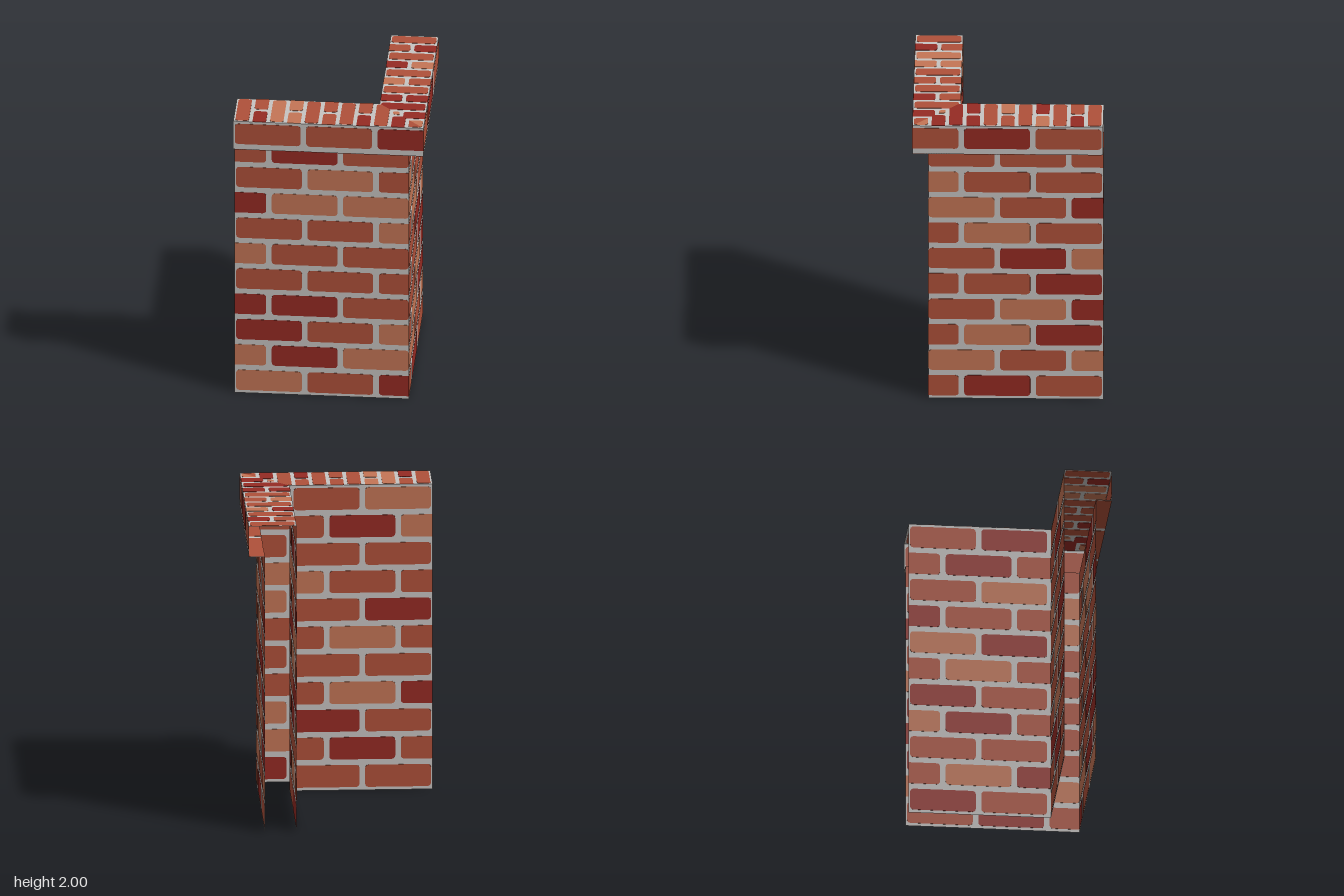
import * as THREE from 'three';
import { mergeGeometries } from 'three/addons/utils/BufferGeometryUtils.js';

const X = new THREE.Vector3(1, 0, 0);
const Y = new THREE.Vector3(0, 1, 0);
const Z = new THREE.Vector3(0, 0, 1);
const THICK = 0.003; // bricks poke slightly through both sides of the mortar sheet

function material(name, color) {
  const m = new THREE.MeshStandardMaterial({ color, side: THREE.DoubleSide });
  m.name = name;
  return m;
}

const rect = (u0, v0, u1, v1) => [[u0, v0], [u1, v0], [u1, v1], [u0, v1]];

// Counter-clockwise rectangle with rounded corners
function roundedRect(u0, v0, u1, v1, r) {
  const centres = [[u1 - r, v1 - r], [u0 + r, v1 - r], [u0 + r, v0 + r], [u1 - r, v0 + r]];
  const points = [];
  centres.forEach(([u, v], corner) => {
    for (let i = 0; i <= 3; i++) {
      const a = (corner + i / 3) * Math.PI / 2;
      points.push([u + r * Math.cos(a), v + r * Math.sin(a)]);
    }
  });
  return points;
}

// Cut a polygon to a convex, counter-clockwise region
function clip(points, region) {
  region.forEach((a, k) => {
    const b = region[(k + 1) % region.length];
    const side = p => (b[0] - a[0]) * (p[1] - a[1]) - (b[1] - a[1]) * (p[0] - a[0]);
    const kept = [];
    points.forEach((p, i) => {
      const q = points[(i + 1) % points.length];
      const sp = side(p), sq = side(q);
      if (sp >= 0) kept.push(p);
      if (sp * sq < 0) {
        const t = sp / (sp - sq);
        kept.push([p[0] + t * (q[0] - p[0]), p[1] + t * (q[1] - p[1])]);
      }
    });
    points = kept;
  });
  return points;
}

const toShape = points => new THREE.Shape(points.map(p => new THREE.Vector2(p[0], p[1])));

// Running bond courses; one letter per brick, bottom course first
function courses(rows, firstRow = 0) {
  return rows.flatMap((row, i) => {
    const r = firstRow + i;
    const v = 0.02 + r * 2 / 11;
    return [...row].map((tone, k) => {
      const u = (r % 2 ? -0.815 : -0.59) + k * 0.45;
      return { tone, outline: roundedRect(u, v, u + 0.415, v + 0.145, 0.022) };
    });
  });
}

// Coping bricks laid across the wall, alternating one full brick and two halves
function copingBricks(columns) {
  return columns.flatMap((column, i) => {
    const u = -0.588 + i * 1.2 / 11;
    return [...column].map((tone, k) => {
      const v = column.length === 1 ? 0.31 : 0.155 + k * 0.305;
      return { tone, outline: roundedRect(u, v, u + 0.085, v + 0.28, 0.018) };
    });
  });
}

export function createModel() {
  const mortar = material('mortar', 0xc8c5c3);
  const tones = {
    M: material('red brick', 0xb0513a),
    L: material('light brick', 0xc57656),
    D: material('dark brick', 0x962b23),
  };
  const model = new THREE.Group();
  model.name = 'brickCorner';

  // One mortar sheet with its bricks, in the plane spanned by U and V
  function panel(name, U, V, origin, region, bricks) {
    const group = new THREE.Group();
    group.name = name;
    const W = new THREE.Vector3().crossVectors(U, V);
    const matrix = new THREE.Matrix4().makeBasis(U, V, W).setPosition(origin);
    const sheet = new THREE.Mesh(new THREE.ShapeGeometry(toShape(region)).applyMatrix4(matrix), mortar);
    sheet.name = name + 'Mortar';
    group.add(sheet);
    for (const tone of Object.keys(tones)) {
      const parts = bricks.filter(b => b.tone === tone)
        .map(b => clip(b.outline, region))
        .filter(points => points.length > 2)
        .map(points => new THREE.ExtrudeGeometry(toShape(points), { depth: THICK, bevelEnabled: false })
          .translate(0, 0, -THICK / 2).applyMatrix4(matrix));
      if (!parts.length) continue;
      const mesh = new THREE.Mesh(mergeGeometries(parts), tones[tone]);
      mesh.name = name + 'Bricks' + tone;
      group.add(mesh);
    }
    model.add(group);
  }

  // Both arms of the corner share one layout, with x and z swapped
  const arms = [
    {
      name: 'front', U: X, N: Z,
      outer: ['LMD', 'LDL', 'DML', 'DDM', 'MMM', 'LMM', 'MML', 'DLL', 'MLM', 'MDM'],
      inner: ['MM', 'MDM', 'MD', 'DLM', 'MM', 'MLM', 'DM', 'MML', 'MM', 'LDM', 'LM'],
      cap: ['MMD'],
      top: ['M', 'MD', 'L', 'LL', 'M', 'MM', 'M', 'MD', 'M', 'LD', 'M'],
    },
    {
      name: 'right', U: Z, N: X,
      outer: ['MDM', 'LML', 'DLM', 'DLM', 'DMM', 'LDM', 'MLM', 'DML', 'MML', 'MMM'],
      inner: ['DM', 'MLD', 'MM', 'LDM', 'DM', 'MLM', 'LD', 'DMM', 'ML', 'MDM', 'MD'],
      cap: ['MDM'],
      top: ['M', 'MD', 'M', 'DL', 'M', 'LM', 'M', 'DD', 'D', 'LD', 'L'],
    },
  ];

  for (const { name, U, N, outer, inner, cap, top } of arms) {
    const at = d => N.clone().multiplyScalar(d);
    const height = y => Y.clone().multiplyScalar(y);
    // Outer and inner wall faces, open at the ends and bottom
    panel(name + 'OuterWall', U, Y, at(0.5), rect(-0.6, 0, 0.5, 1.8), courses(outer));
    panel(name + 'InnerWall', U, Y, at(0.3), rect(-0.6, 0, 0.3, 2), courses(inner));
    // Overhanging cap: fascia, mitred top and mitred underside
    panel(name + 'CapFace', U, Y, at(0.6), rect(-0.6, 1.8, 0.6, 2), courses(cap, 10));
    panel(name + 'CapTop', U, N, height(2),
      [[-0.6, 0.3], [0.3, 0.3], [0.6, 0.6], [-0.6, 0.6]], copingBricks(top));
    const soffit = [-0.59, -0.14, 0.31].map(u => (
      { tone: 'M', outline: rect(u, 0.49, u + 0.415, 0.61) }));
    panel(name + 'CapUnderside', U, N, height(1.8),
      [[-0.6, 0.5], [0.5, 0.5], [0.6, 0.6], [-0.6, 0.6]], soffit);
  }
  return model;
}
